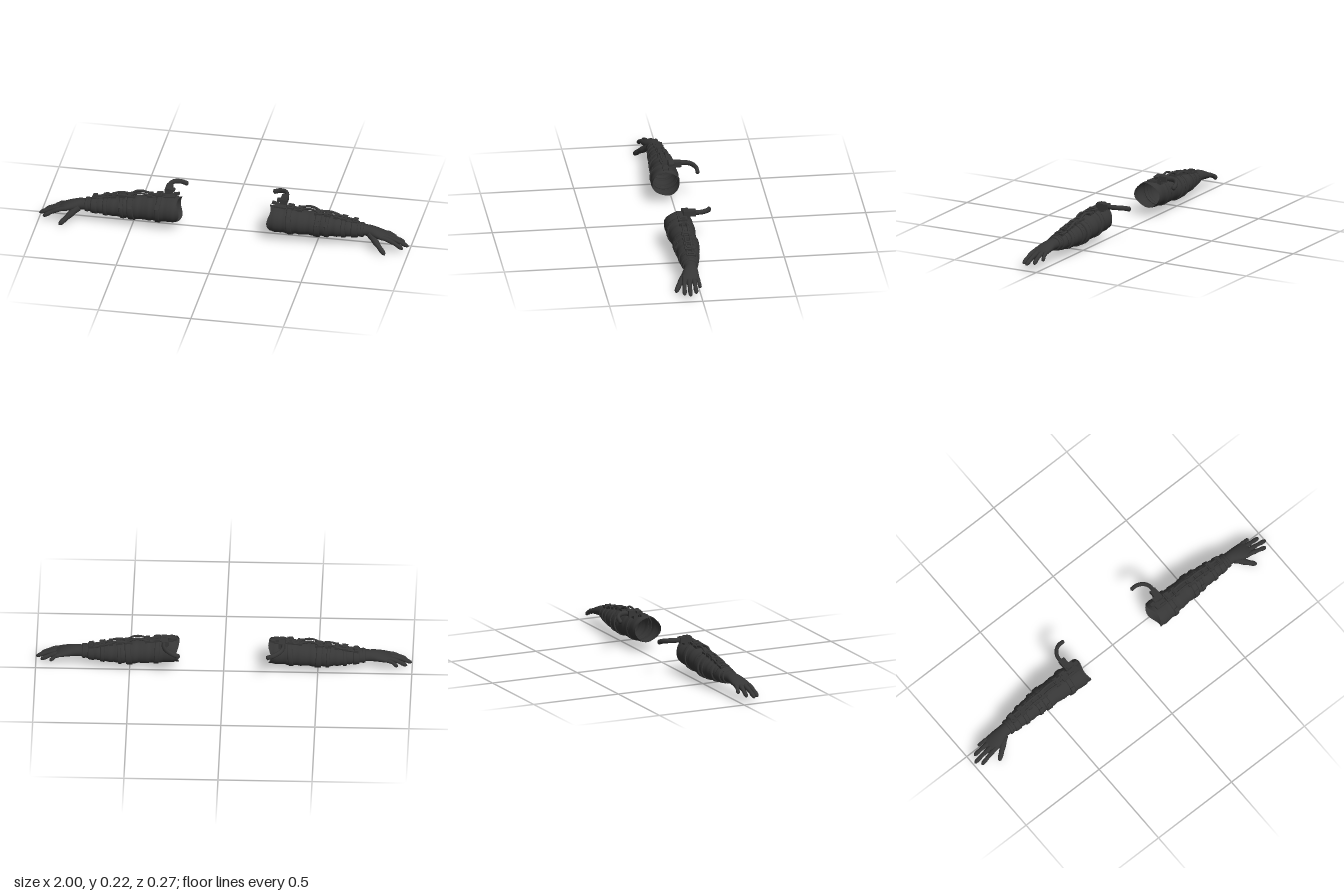
import * as THREE from 'three';

const V = (x, y, z) => new THREE.Vector3(x, y, z);

// Skin a list of closed rings of points
function skin(rings) {
  const n = rings[0].length, pos = [], idx = [];
  rings.forEach(r => r.forEach(p => pos.push(p.x, p.y, p.z)));
  for (let i = 0; i < rings.length - 1; i++) {
    for (let j = 0; j < n; j++) {
      const a = i * n + j, b = i * n + (j + 1) % n;
      idx.push(a, b, a + n, b, b + n, a + n);
    }
  }
  const g = new THREE.BufferGeometry();
  g.setAttribute('position', new THREE.Float32BufferAttribute(pos, 3));
  g.setIndex(idx);
  g.computeVertexNormals();
  return g;
}

// Elliptical rings across x; each section is [x, centreY, centreZ, radiusY, radiusZ]
function loft(sections, sides = 28, lean = 0) {
  return skin(sections.map(([x, cy, cz, ry, rz]) => Array.from({ length: sides }, (_, j) => {
    const a = j / sides * Math.PI * 2;
    return V(x + lean * Math.cos(a), cy + ry * Math.cos(a), cz + rz * Math.sin(a));
  })));
}

// Round sweep with a varying radius along a smooth path
function sweep(points, radius, segs = 18, sides = 10, tall = 1) {
  const curve = new THREE.CatmullRomCurve3(points.map(p => V(...p)));
  const f = curve.computeFrenetFrames(segs);
  return skin(Array.from({ length: segs + 1 }, (_, i) => {
    const t = i / segs, c = curve.getPointAt(t), r = radius(t);
    return Array.from({ length: sides }, (_, j) => {
      const a = j / sides * Math.PI * 2;
      const d = V(0, 0, 0).addScaledVector(f.normals[i], Math.cos(a) * r).addScaledVector(f.binormals[i], Math.sin(a) * r);
      d.y *= tall;
      return c.clone().add(d);
    });
  }));
}

// Radius with a domed tip, and slight knuckle swellings
const digit = (r0, r1) => t => {
  const r = r0 + (r1 - r0) * t + 0.001 * Math.cos(t * Math.PI * 5);
  const k = Math.max(0, (t - 0.88) / 0.12);
  return r * Math.sqrt(Math.max(0.0001, 1 - k * k));
};
const cord = r => t => (t <= 0 || t >= 1 ? 0.0005 : r);

const SLEEVE = [
  [0.245, 0.123, 0.038, 0.068, 0.075], [0.30, 0.121, 0.038, 0.071, 0.075],
  [0.36, 0.117, 0.035, 0.071, 0.071], [0.42, 0.112, 0.031, 0.067, 0.067],
  [0.50, 0.106, 0.027, 0.063, 0.064], [0.57, 0.104, 0.027, 0.059, 0.060],
  [0.64, 0.102, 0.030, 0.050, 0.053], [0.70, 0.101, 0.033, 0.040, 0.043],
  [0.76, 0.101, 0.036, 0.031, 0.036]
];

// Sleeve section at any x
function at(x, grow = 0) {
  let i = 0;
  while (i < SLEEVE.length - 2 && SLEEVE[i + 1][0] < x) i++;
  const a = SLEEVE[i], b = SLEEVE[i + 1], t = (x - a[0]) / (b[0] - a[0]);
  const s = a.map((v, k) => v + (b[k] - v) * t);
  return [x, s[1], s[2], s[3] + grow, s[4] + grow];
}

function buildArm(side, mat) {
  const arm = new THREE.Group();
  arm.name = side > 0 ? 'leftArm' : 'rightArm';

  // Bake the mirror into the geometry so faces keep pointing outward
  const add = (name, g) => {
    if (side < 0) {
      g.scale(-1, 1, 1);
      const ix = g.index.array;
      for (let i = 0; i < ix.length; i += 3) [ix[i], ix[i + 1]] = [ix[i + 1], ix[i]];
    }
    const m = new THREE.Mesh(g, mat);
    m.name = name;
    arm.add(m);
  };
  const box = (name, [w, h, d], [x, y, z], tilt = 0) =>
    add(name, new THREE.BoxGeometry(w, h, d).rotateZ(tilt).translate(x, y, z));
  const band = (name, x, w, g, lean = 0) => add(name, loft(
    [[0, -0.002], [0, g], [0.15, g + 0.001], [0.85, g + 0.001], [1, g], [1, -0.002]]
      .map(([t, o]) => at(x + w * (t - 0.5), o)), 28, lean));

  // Open sleeve with soft fabric folds
  const folds = [];
  for (let i = 0; i <= 44; i++) {
    const x = 0.245 + i / 44 * 0.455;
    folds.push(at(x, 0.0016 * Math.sin(x * 95) + 0.001 * Math.sin(x * 190)));
  }
  const sleeve = loft(folds, 32);
  const p = sleeve.attributes.position;
  for (let j = 0; j < 32; j++) p.setX(j, p.getX(j) + 0.008 * Math.sin(j / 32 * Math.PI * 6));
  sleeve.computeVertexNormals();
  add('sleeve', sleeve);

  // Straps around the arm
  band('upperStrap', 0.355, 0.026, 0.005, -0.004);
  band('elbowStrap', 0.505, 0.032, 0.006, 0.006);
  band('forearmStrap', 0.555, 0.018, 0.005, 0.004);
  band('lowerStrap', 0.645, 0.022, 0.005);
  band('gloveCuff', 0.705, 0.034, 0.006);

  // Glove gauntlet, wrist and palm
  add('gloveHand', loft([
    [0.69, 0.101, 0.033, 0.043, 0.046], [0.72, 0.101, 0.034, 0.037, 0.042],
    [0.735, 0.101, 0.035, 0.037, 0.041], [0.755, 0.101, 0.036, 0.030, 0.035],
    [0.78, 0.101, 0.037, 0.030, 0.034], [0.80, 0.099, 0.040, 0.029, 0.038],
    [0.83, 0.093, 0.045, 0.026, 0.044], [0.86, 0.086, 0.047, 0.021, 0.046],
    [0.885, 0.079, 0.047, 0.015, 0.044], [0.897, 0.075, 0.047, 0.006, 0.035],
    [0.9, 0.074, 0.047, 0.0005, 0.0005]]));
  band('wristBand', 0.745, 0.016, 0.004);

  // Fingers from index to little finger: tip x, tip y, tip z, root z
  [['indexFinger', 0.975, 0.035, 0.094, 0.080], ['middleFinger', 1.0, 0.038, 0.064, 0.058],
   ['ringFinger', 0.975, 0.041, 0.030, 0.036], ['littleFinger', 0.925, 0.050, 0.004, 0.014]]
    .forEach(([name, x, y, z, rz], i) => add(name, sweep(
      [[0.85, 0.088, rz], [0.885, 0.081, rz + (z - rz) * 0.3], [(x + 0.885) / 2, (y + 0.081) / 2 + 0.004, rz + (z - rz) * 0.7], [x, y, z]],
      digit(i === 3 ? 0.012 : 0.0135, i === 3 ? 0.009 : 0.0105))));
  add('thumb', sweep([[0.79, 0.090, 0.058], [0.82, 0.066, 0.084], [0.85, 0.040, 0.108], [0.883, 0.010, 0.130]], digit(0.021, 0.011)));

  // Cords along the top, bowing clear of the sleeve at the elbow
  [0.012, 0.040].forEach((z, i) => add('topCord', sweep(
    [[0.29, 0.196, z], [0.34, 0.189, z], [0.385, 0.184, z], [0.42, 0.192, z], [0.455, 0.199, z], [0.485, 0.193, z],
     [0.515, 0.176, z], [0.55, 0.179, z], [0.58, 0.176, z], [0.62, 0.160, z], [0.66, 0.149, z], [0.71, 0.141, z]],
    cord(i ? 0.0055 : 0.007), 60, 8)));

  // Buckles and plates that hold the cords
  [[0.355, 0.034], [0.405, 0.026], [0.505, 0.04], [0.555, 0.034], [0.60, 0.022], [0.645, 0.03], [0.705, 0.024]]
    .forEach(([x, w]) => {
      const s = at(x), e = at(x + 0.02);
      const tilt = Math.atan2(e[1] + e[3] - s[1] - s[3], 0.02);
      box('buckle', [w, 0.014, 0.05], [x, s[1] + s[3] + 0.005, 0.026], tilt);
      box('bucklePin', [w * 0.45, 0.008, 0.03], [x, s[1] + s[3] + 0.014, 0.026], tilt);
    });

  // Front buckles on the straps
  [0.355, 0.505, 0.555].forEach(x => {
    const s = at(x);
    add('sideBuckle', new THREE.BoxGeometry(0.022, 0.028, 0.01).rotateX(-0.55)
      .translate(x, s[1] + s[3] * 0.53, s[2] + s[4] * 0.85 + 0.005));
  });

  // Hose coupling near the shoulder
  box('couplingBody', [0.036, 0.03, 0.068], [0.312, 0.209, -0.016]);
  box('couplingCap', [0.046, 0.012, 0.028], [0.300, 0.219, 0.003], 0.12);
  box('couplingFoot', [0.03, 0.025, 0.026], [0.306, 0.19, -0.008]);
  box('couplingBracket', [0.06, 0.01, 0.05], [0.298, 0.193, 0.025], -0.1);
  box('couplingLatch', [0.03, 0.012, 0.018], [0.265, 0.200, 0.012], -0.25);

  // Curved hose reaching back and inward
  add('hose', sweep([[0.316, 0.210, -0.035], [0.316, 0.210, -0.075], [0.300, 0.208, -0.105], [0.268, 0.200, -0.126], [0.228, 0.186, -0.130]],
    cord(0.0105), 24, 12, 1.3));
  return arm;
}

export function createModel() {
  const model = new THREE.Group();
  model.name = 'gloveArms';
  const charcoal = new THREE.MeshStandardMaterial({ color: 0x363636, side: THREE.DoubleSide });
  charcoal.name = 'charcoal';
  model.add(buildArm(1, charcoal), buildArm(-1, charcoal));
  return model;
}
